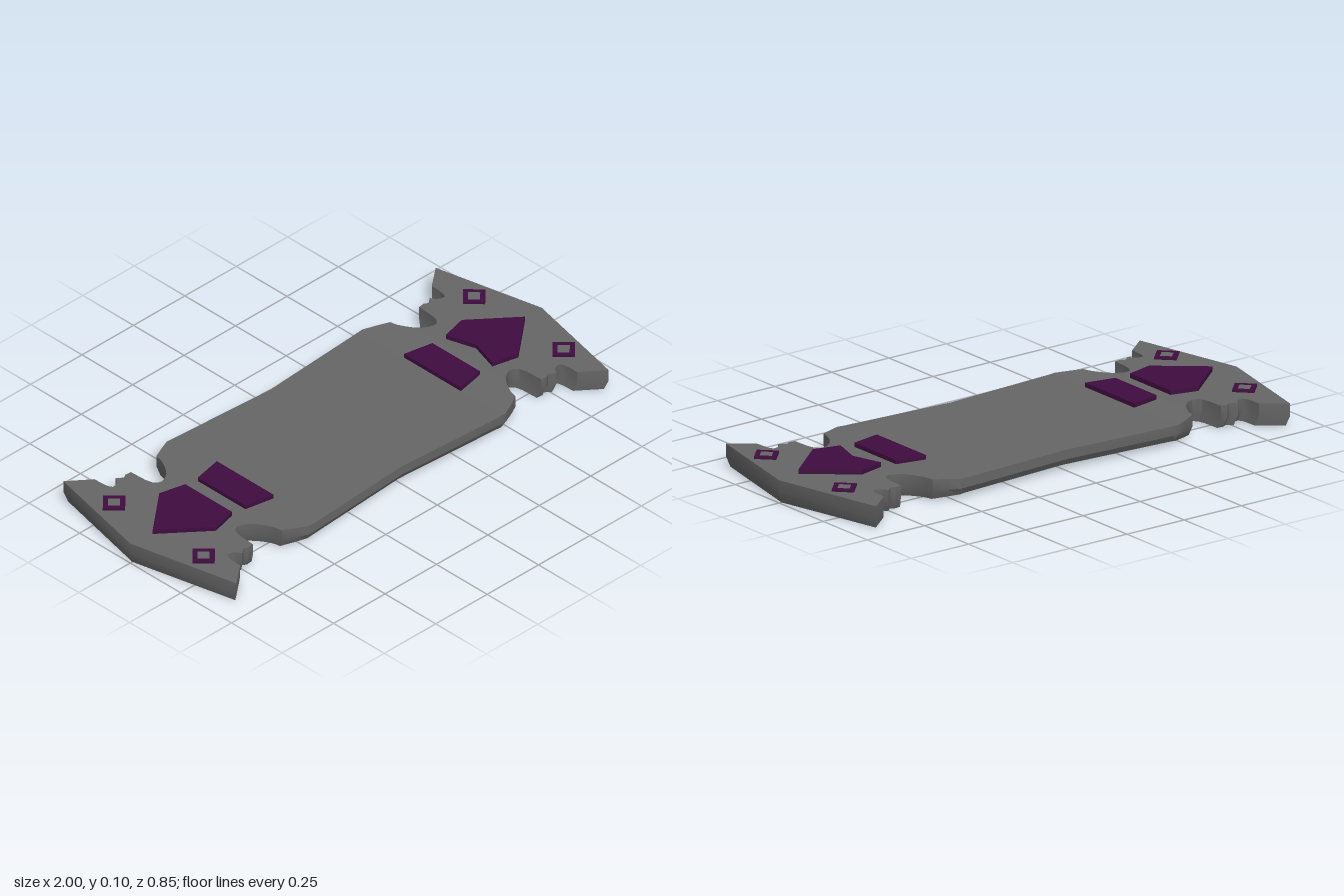
import * as THREE from 'three';
import { toCreasedNormals } from 'three/addons/utils/BufferGeometryUtils.js';

const deckGrey = new THREE.MeshStandardMaterial({ color: 0x666666 });
deckGrey.name = 'deck grey';
const padPurple = new THREE.MeshStandardMaterial({ color: 0x3f0d3f });
padPurple.name = 'pad purple';

// Half width of the deck along x, from the middle to the pointed tip
const OUTLINE = [
  [0, 0.323], [0.45, 0.351], [0.475, 0.352], [0.52, 0.333], [0.568, 0.31],
  [0.574, 0.283], [0.585, 0.258], [0.6, 0.232], [0.62, 0.208], [0.64, 0.194],
  [0.66, 0.187], [0.675, 0.19], [0.69, 0.205], [0.697, 0.235], [0.7, 0.301],
  [0.725, 0.304], [0.74, 0.295], [0.764, 0.313], [0.776, 0.294], [0.79, 0.284],
  [0.806, 0.282], [0.815, 0.297], [0.818, 0.32], [0.82, 0.36], [0.905, 0.427], [1, 0],
];

// Deck: six-point sections swept along x, thicker towards the ends, with a chamfered underside
function deckGeometry() {
  const half = OUTLINE.slice(1);
  const stations = [...half.map(([x, w]) => [-x, w]).reverse(), ...OUTLINE];
  const rings = stations.map(([x, w]) => {
    const t = THREE.MathUtils.smoothstep(Math.abs(x), 0.42, 0.64);
    const top = 0.073 + 0.01 * t;
    const bottom = 0.015 * (1 - t);
    const inner = Math.max(0, w - 0.014);
    const bx = x * 0.99;
    return [
      [x, top, w], [x, 0.038, w], [bx, bottom, inner],
      [bx, bottom, -inner], [x, 0.038, -w], [x, top, -w],
    ];
  });
  const pos = [];
  for (let i = 0; i < rings.length - 1; i++) {
    for (let k = 0; k < 6; k++) {
      const n = (k + 1) % 6;
      const a = rings[i][k], b = rings[i][n], c = rings[i + 1][n], d = rings[i + 1][k];
      pos.push(...a, ...b, ...c, ...a, ...c, ...d);
    }
  }
  const g = new THREE.BufferGeometry();
  g.setAttribute('position', new THREE.Float32BufferAttribute(pos, 3));
  return toCreasedNormals(g, 0.5);
}

// Raised pad from [x, z] corners, standing between two heights
function pad(name, corners, y0, y1, hole) {
  const toPoints = (list) => list.map(([x, z]) => new THREE.Vector2(x, -z));
  const shape = new THREE.Shape(toPoints(corners));
  if (hole) shape.holes.push(new THREE.Path(toPoints(hole)));
  const g = new THREE.ExtrudeGeometry(shape, { depth: y1 - y0, bevelEnabled: false });
  g.rotateX(-Math.PI / 2);
  g.translate(0, y0, 0);
  const mesh = new THREE.Mesh(g, padPurple);
  mesh.name = name;
  return mesh;
}

const diamond = (x, z, r) => [[x - r, z], [x, z - r], [x + r, z], [x, z + r]];

export function createModel() {
  const model = new THREE.Group();
  model.name = 'board';
  const deck = new THREE.Mesh(deckGeometry(), deckGrey);
  deck.name = 'deck';
  model.add(deck);

  const padZ = 0.014; // the pads sit slightly forward of the centre line
  for (const s of [-1, 1]) {
    const side = s < 0 ? 'right' : 'left';

    // Arrow pad; only the left one has a notched inner edge
    const arrow = [[0.905, 0], [0.735, -0.14], [0.633, -0.115], [0.633, 0.115], [0.735, 0.14]];
    if (s > 0) arrow.splice(3, 0, [0.668, 0]);
    model.add(pad(side + 'ArrowPad', arrow.map(([x, z]) => [s * x, z + padZ]), 0.08, 0.1));

    // Tapered bar pad
    const bar = [[0.57, -0.117], [0.57, 0.117], [0.455, 0.14], [0.455, -0.14]];
    model.add(pad(side + 'BarPad', bar.map(([x, z]) => [s * x, z + padZ]), 0.08, 0.096));

    // Diamond rings
    for (const q of [-1, 1]) {
      const x = s * 0.875, z = padZ + q * 0.221;
      model.add(pad(side + (q < 0 ? 'Back' : 'Front') + 'Diamond',
        diamond(x, z, 0.055), 0.08, 0.091, diamond(x, z, 0.03)));
    }
  }
  return model;
}
